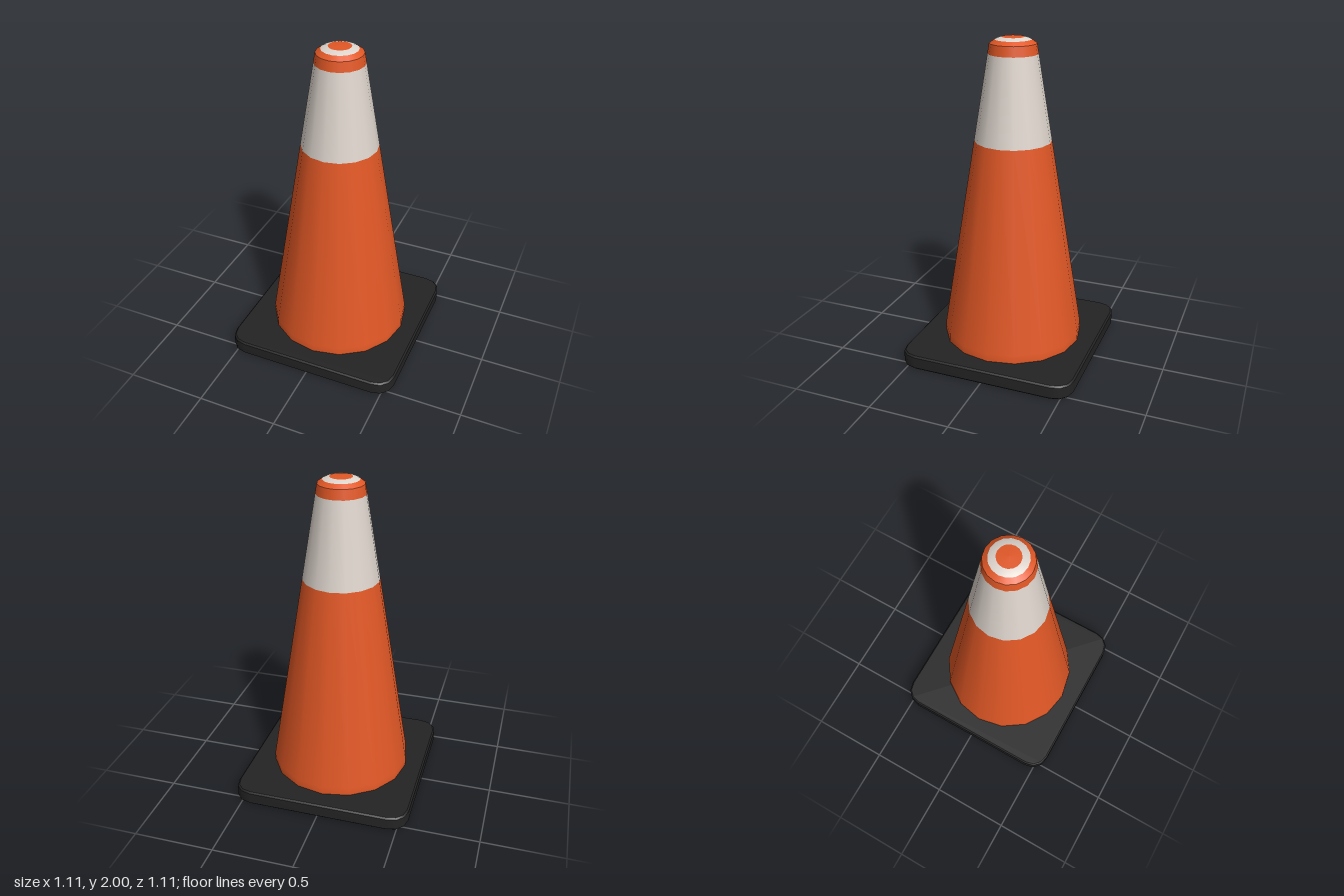
import * as THREE from 'three';
import { toCreasedNormals } from 'three/addons/utils/BufferGeometryUtils.js';

const SIDES = 16;

function material(name, color) {
  const m = new THREE.MeshStandardMaterial({ color });
  m.name = name;
  return m;
}

export function createModel() {
  const orange = material('orange', 0xe25826);
  const white = material('reflective white', 0xded5cd);
  const black = material('black rubber', 0x242424);

  const model = new THREE.Group();
  model.name = 'trafficCone';

  function add(name, geometry, mat) {
    const mesh = new THREE.Mesh(geometry, mat);
    mesh.name = name;
    model.add(mesh);
  }

  // A turned section of the cone from [radius, height] pairs, bottom to top
  function turned(name, profile, mat) {
    const points = profile.map(([r, y]) => new THREE.Vector2(r, y));
    add(name, new THREE.LatheGeometry(points, SIDES), mat);
  }

  // Square base plate with three-facet corners and a thin bevel
  const corner = [[0.555, 0.44], [0.54, 0.5], [0.5, 0.54], [0.44, 0.555]];
  const outline = [];
  for (let i = 0; i < 4; i++) {
    for (const [x, y] of corner) {
      outline.push(new THREE.Vector2(x, y).rotateAround(new THREE.Vector2(), i * Math.PI / 2));
    }
  }
  const bevel = 0.01;
  const base = new THREE.ExtrudeGeometry(new THREE.Shape(outline), {
    depth: 0.09 - 2 * bevel,
    bevelThickness: bevel,
    bevelSize: bevel,
    bevelOffset: -bevel,
    bevelSegments: 1,
  });
  base.rotateX(-Math.PI / 2).translate(0, bevel, 0);
  add('base', toCreasedNormals(base, 0.7), black);

  // Cone body with a short upright skirt
  turned('coneBody', [[0.44, 0.085], [0.44, 0.14], [0.236, 1.38]], orange);
  turned('reflectiveBand', [[0.236, 1.38], [0.15, 1.9]], white);
  turned('upperCollar', [[0.15, 1.9], [0.14, 1.96]], orange);

  // Low domed top with a white ring around the orange centre
  turned('topShoulder', [[0.14, 1.96], [0.11, 1.982]], orange);
  turned('topRing', [[0.11, 1.982], [0.09, 1.991], [0.068, 1.996]], white);
  turned('topCentre', [[0.068, 1.996], [0, 2]], orange);

  return model;
}
